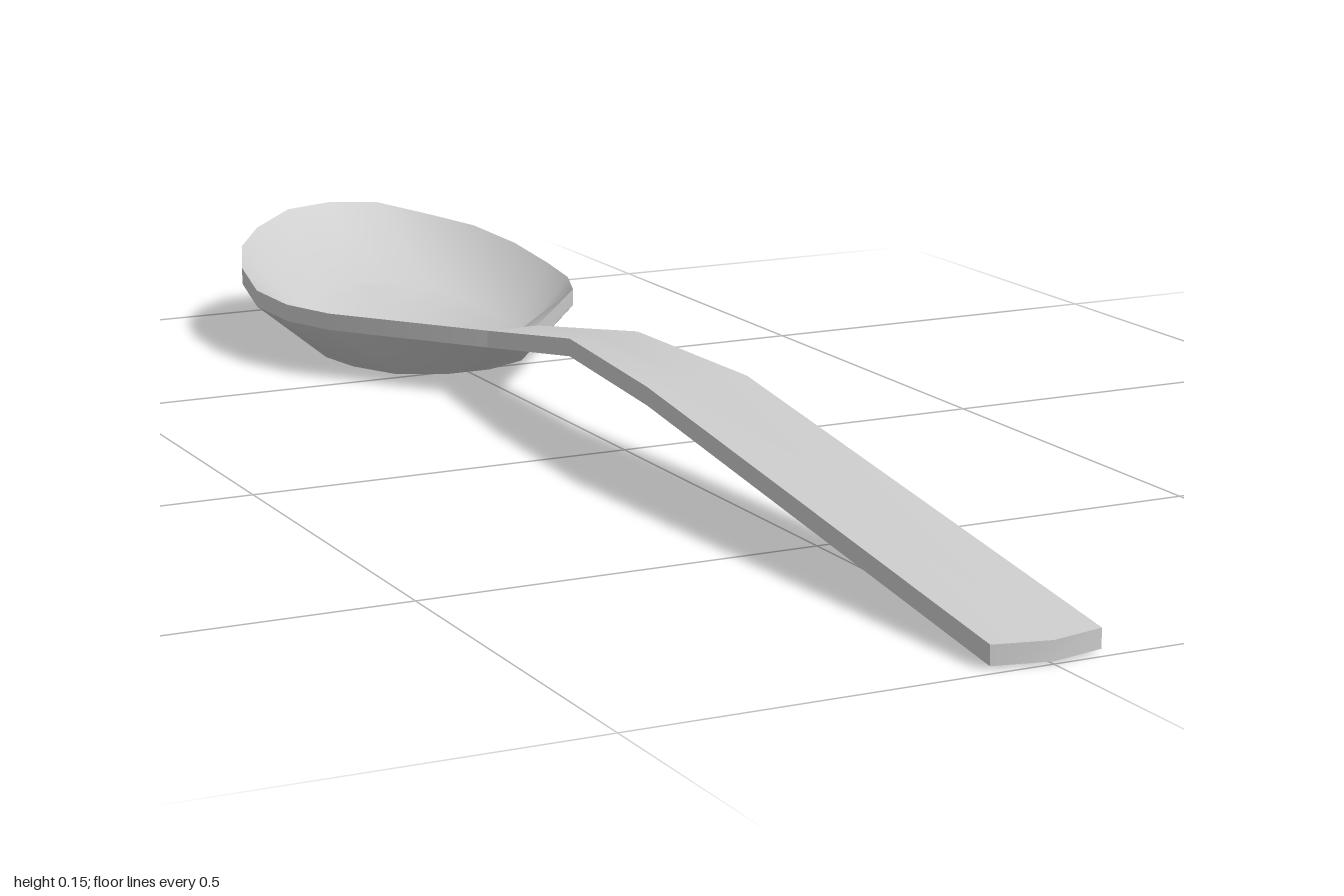
import * as THREE from 'three';
import { mergeGeometries, toCreasedNormals } from 'three/addons/utils/BufferGeometryUtils.js';

const THICKNESS = 0.023;
const material = new THREE.MeshStandardMaterial({ color: 0xcccccc });

// Sheet metal plate: a grid of top points (rows run backwards, columns run
// towards +x), a copy of it lowered by the thickness, and a wall around it.
function plate(name, rows) {
  const R = rows.length, C = rows[0].length;
  const low = ([x, y, z]) => [x, y - THICKNESS, z];
  const top = [], bottom = [], wall = [];
  const tri = (a, b, c) => {
    top.push(...a, ...b, ...c);
    bottom.push(...low(a), ...low(c), ...low(b));
  };
  for (let r = 0; r < R - 1; r++) {
    for (let c = 0; c < C - 1; c++) {
      const a = rows[r][c], b = rows[r][c + 1], d = rows[r + 1][c], e = rows[r + 1][c + 1];
      if (c < (C - 1) / 2) { tri(a, b, d); tri(b, e, d); }
      else { tri(a, b, e); tri(a, e, d); }
    }
  }
  const rim = [
    ...rows[0],
    ...rows.slice(1).map((row) => row[C - 1]),
    ...rows[R - 1].slice(0, -1).reverse(),
    ...rows.slice(1, -1).map((row) => row[0]).reverse(),
  ];
  rim.forEach((p, i) => {
    const q = rim[(i + 1) % rim.length];
    wall.push(...low(p), ...low(q), ...q, ...low(p), ...q, ...p);
  });
  const surface = (points, crease) => {
    const g = new THREE.BufferGeometry();
    g.setAttribute('position', new THREE.Float32BufferAttribute(points, 3));
    return toCreasedNormals(g, crease);
  };
  const geometry = mergeGeometries([surface(top, 1.2), surface(bottom, 1.2), surface(wall, 0.7)]);
  const mesh = new THREE.Mesh(geometry, material);
  mesh.name = name;
  return mesh;
}

export function createModel() {
  const group = new THREE.Group();
  group.name = 'spoon';

  // Handle: half width, top height, z, and how far the middle bulges forward
  const handle = [
    [0.068, 0.026, 0.985, 0.015],
    [0.068, 0.131, 0.2, 0],
    [0.048, 0.137, -0.06, 0],
    [0.037, 0.091, -0.34, 0],
  ].map(([w, y, z, bulge]) => [[-w, y, z], [0, y, z + bulge], [w, y, z]]);
  group.add(plate('handle', handle));

  // Bowl: matching points of the rim and of the floor, from neck to tip
  const rim = [
    [0.037, 0.091, -0.34], [0.185, 0.09, -0.54], [0.215, 0.09, -0.62],
    [0.225, 0.094, -0.71], [0.213, 0.109, -0.8], [0.183, 0.124, -0.88],
    [0.133, 0.135, -0.95], [0.07, 0.151, -0.987], [0, 0.154, -1],
  ];
  const floor = [
    [0.03, 0.024, -0.485], [0.095, 0.023, -0.52], [0.13, 0.023, -0.59],
    [0.142, 0.023, -0.66], [0.14, 0.028, -0.73], [0.122, 0.038, -0.785],
    [0.09, 0.048, -0.83], [0.047, 0.054, -0.856], [0, 0.056, -0.865],
  ];
  const mirror = ([x, y, z]) => [-x, y, z];
  const sections = rim.map((p, i) => {
    const f = floor[i];
    return [mirror(p), mirror(f), [0, f[1], f[2]], f, p];
  });
  // The grid starts on the neck line and closes in the tip
  const neck = [-1, -0.5, 0, 0.5, 1].map((t) => [t * rim[0][0], rim[0][1], rim[0][2]]);
  const tip = Array(5).fill(rim[rim.length - 1]);
  group.add(plate('bowl', [neck, ...sections, tip]));

  return group;
}
